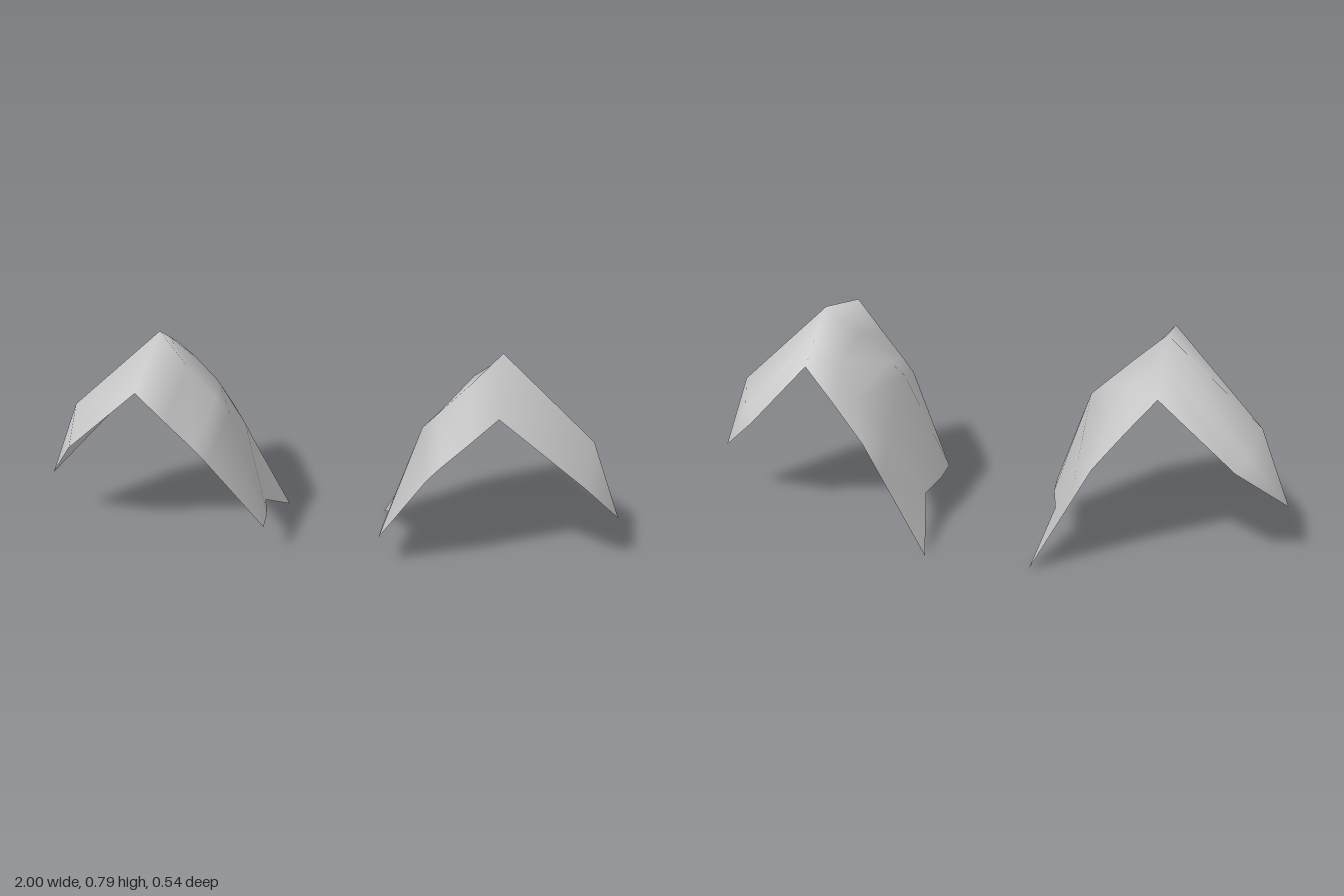
import * as THREE from 'three';
import { mergeVertices } from 'three/addons/utils/BufferGeometryUtils.js';

// Cross-sections from the inner hem, over the ridge, to the outer tip.
// Each runs front edge -> crown -> rear crease -> rear edge as [x, y, z].
const TIP = [1, 0.21, -0.015];
const SECTIONS = [
  [[0.2, 0.148, 0.13], [0.205, 0.143, 0.04], [0.23, 0.135, -0.065], [0.18, 0, -0.26]], // inner hem
  [[0.36, 0.455, 0.24], [0.325, 0.53, 0.03], [0.32, 0.38, -0.175], [0.32, 0.28, -0.266]],
  [[0.4, 0.506, 0.245], [0.375, 0.582, 0.02], [0.42, 0.53, -0.205], [0.38, 0.4, -0.268]], // rear dent
  [[0.48, 0.6, 0.257], [0.47, 0.68, 0], [0.48, 0.645, -0.147], [0.48, 0.535, -0.259]],
  [[0.57, 0.708, 0.27], [0.57, 0.785, -0.04], [0.57, 0.718, -0.145], [0.57, 0.65, -0.25]], // ridge
  [[0.86, 0.42, 0.155], [0.89, 0.49, -0.03], [0.855, 0.425, -0.13], [0.82, 0.385, -0.165]],
  [TIP, TIP, TIP, TIP],
];

// Loft a smooth thin sheet through the sections; side = 1 or -1 mirrors it in x
function plateGeometry(side) {
  const cols = SECTIONS[0].length;
  const positions = SECTIONS.flat().flatMap(([x, y, z]) => [x * side, y, z]);
  const index = [];
  const tri = (a, b, c) => index.push(...(side > 0 ? [a, b, c] : [a, c, b]));
  for (let i = 0; i < SECTIONS.length - 1; i++) {
    for (let j = 0; j < cols - 1; j++) {
      const a = i * cols + j, b = a + cols;
      if (i < SECTIONS.length - 2) tri(a, b, b + 1); // the tip closes to a point
      tri(a, b + 1, a + 1);
    }
  }
  let geometry = new THREE.BufferGeometry();
  geometry.setAttribute('position', new THREE.Float32BufferAttribute(positions, 3));
  geometry.setIndex(index);
  geometry = mergeVertices(geometry);
  geometry.computeVertexNormals();
  return geometry;
}

export function createModel() {
  const model = new THREE.Group();
  model.name = 'shoulderPlates';
  const material = new THREE.MeshStandardMaterial({ color: 0xcccccc, side: THREE.DoubleSide });
  for (const [name, side] of [['leftPlate', 1], ['rightPlate', -1]]) {
    const plate = new THREE.Mesh(plateGeometry(side), material);
    plate.name = name;
    model.add(plate);
  }
  return model;
}
